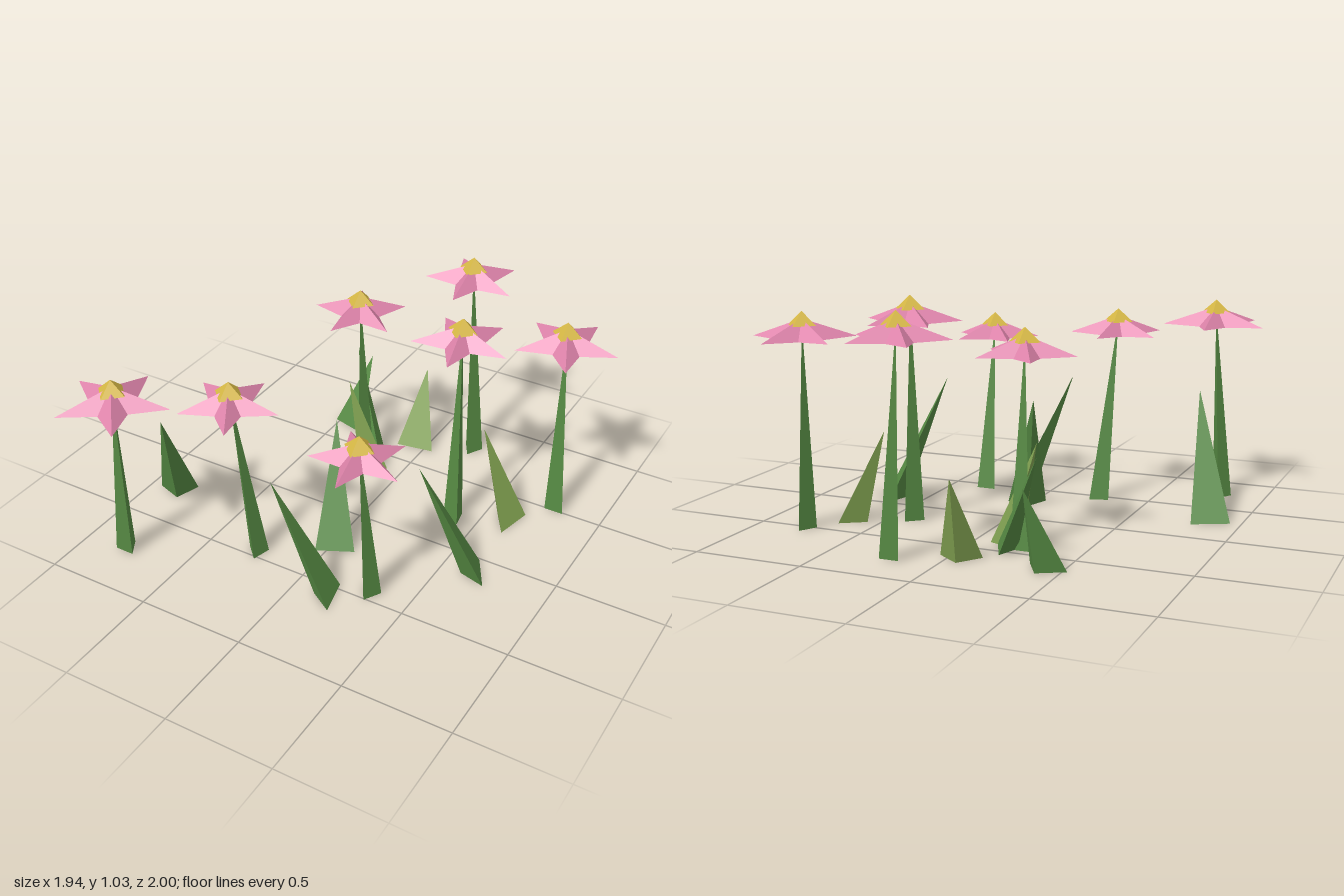
import * as THREE from 'three';
import { ConvexGeometry } from 'three/addons/geometries/ConvexGeometry.js';

const mat = (name, color, extra = {}) => new THREE.MeshStandardMaterial({ name, color, flatShading: true, ...extra });
const V = (x, y, z) => new THREE.Vector3(x, y, z);

function addMesh(parent, name, geometry, material) {
  const mesh = new THREE.Mesh(geometry, material);
  mesh.name = name;
  parent.add(mesh);
  return mesh;
}

// Three-sided spike: triangular base on the ground, leaning to its apex
const spike = (apex, base) => new ConvexGeometry([apex, ...base]);

function stemBase(x, z, angle, r = 0.052) {
  return [0, 1, 2].map((i) => {
    const a = angle + (i * Math.PI * 2) / 3;
    return V(x + r * Math.cos(a), 0, z + r * Math.sin(a));
  });
}

// Flat triangular base from its far edge; the third corner lies towards the apex
function leafBase(apex, [ax, az, bx, bz]) {
  const mx = (ax + bx) / 2, mz = (az + bz) / 2;
  let px = -(bz - az) * 0.5, pz = (bx - ax) * 0.5;
  if (px * (apex.x - mx) + pz * (apex.z - mz) < 0) { px = -px; pz = -pz; }
  return [V(ax, 0, az), V(bx, 0, bz), V(mx + px, 0, mz + pz)];
}

// Five folded petals: high ridges to the tips, deep valleys between them
function starGeometry(radius, angle) {
  const rim = [];
  for (let i = 0; i < 10; i++) {
    const tip = i % 2 === 0;
    const a = angle + (i * Math.PI) / 5;
    const r = tip ? radius : radius * 0.42;
    rim.push([r * Math.cos(a), tip ? -0.117 : -0.122, r * Math.sin(a)]);
  }
  const pos = [];
  rim.forEach((p, i) => pos.push(0, -0.033, 0, ...rim[(i + 1) % 10], ...p));
  const g = new THREE.BufferGeometry();
  g.setAttribute('position', new THREE.Float32BufferAttribute(pos, 3));
  g.computeVertexNormals();
  return g;
}

export function createModel() {
  const group = new THREE.Group();
  group.name = 'flowerPatch';
  const pink = mat('petal pink', 0xe085ac, { side: THREE.DoubleSide });
  const yellow = mat('centre yellow', 0xd6b845);
  const green = mat('leaf green', 0x568a43);
  const olive = mat('light leaf green', 0x80a050);

  // Flowers: head x, top y, head z, radius, first tip angle, stem foot x, z, foot angle
  const flowers = [
    [-0.73, 0.945, 0.79, 0.25, -92, -0.79, 0.74, 30],
    [-0.33, 0.915, 0.52, 0.225, -83, -0.265, 0.465, 75],
    [0.305, 0.865, 0.525, 0.213, -58, 0.315, 0.455, 90],
    [-0.24, 0.94, -0.415, 0.22, -46, -0.235, -0.435, 90],
    [0.36, 1.03, -0.27, 0.228, -64, 0.39, -0.21, 50],
    [0.73, 0.975, -0.56, 0.237, -76, 0.77, -0.52, 30],
    [0.145, 1.035, -0.81, 0.227, -56, 0.21, -0.76, 90],
  ];
  for (const [x, y, z, r, deg, fx, fz, footDeg] of flowers) {
    const flower = new THREE.Group();
    flower.name = 'flower';
    const rad = THREE.MathUtils.degToRad;
    addMesh(flower, 'stem', spike(V(x, y - 0.05, z), stemBase(fx, fz, rad(footDeg))), green);
    addMesh(flower, 'petals', starGeometry(r, rad(deg)), pink).position.set(x, y, z);
    addMesh(flower, 'flowerCentre', new THREE.ConeGeometry(0.07, 0.062, 4), yellow).position.set(x, y - 0.031, z);
    group.add(flower);
  }

  // Leaves: apex, far base edge (x, z, x, z), colour
  const leaves = [
    [V(-0.74, 0.56, 0.49), [-0.95, 0.28, -0.79, 0.2], green],
    [V(-0.09, 0.54, 0.05), [0.115, 0.245, -0.045, 0.325], green],
    [V(0.43, 0.575, 0.24), [0.63, 0.01, 0.72, 0.165], green],
    [V(-0.07, 0.56, 0.62), [0.175, 0.47, 0.215, 0.645], green],
    [V(0.45, 0.435, -0.36), [0.67, -0.4, 0.63, -0.22], olive],
    [V(-0.07, 0.37, -0.79), [0.045, -0.64, -0.135, -0.61], olive],
    [V(-0.38, 0.36, -0.78), [-0.52, -0.65, -0.34, -0.6], green],
    [V(-0.39, 0.46, -0.655), [-0.18, -0.55, -0.11, -0.4], green],
    [V(-0.28, 0.45, -0.38), [-0.075, -0.395, -0.2, -0.34], olive],
  ];
  for (const [apex, edge, material] of leaves) {
    addMesh(group, 'leaf', spike(apex, leafBase(apex, edge)), material);
  }
  return group;
}
